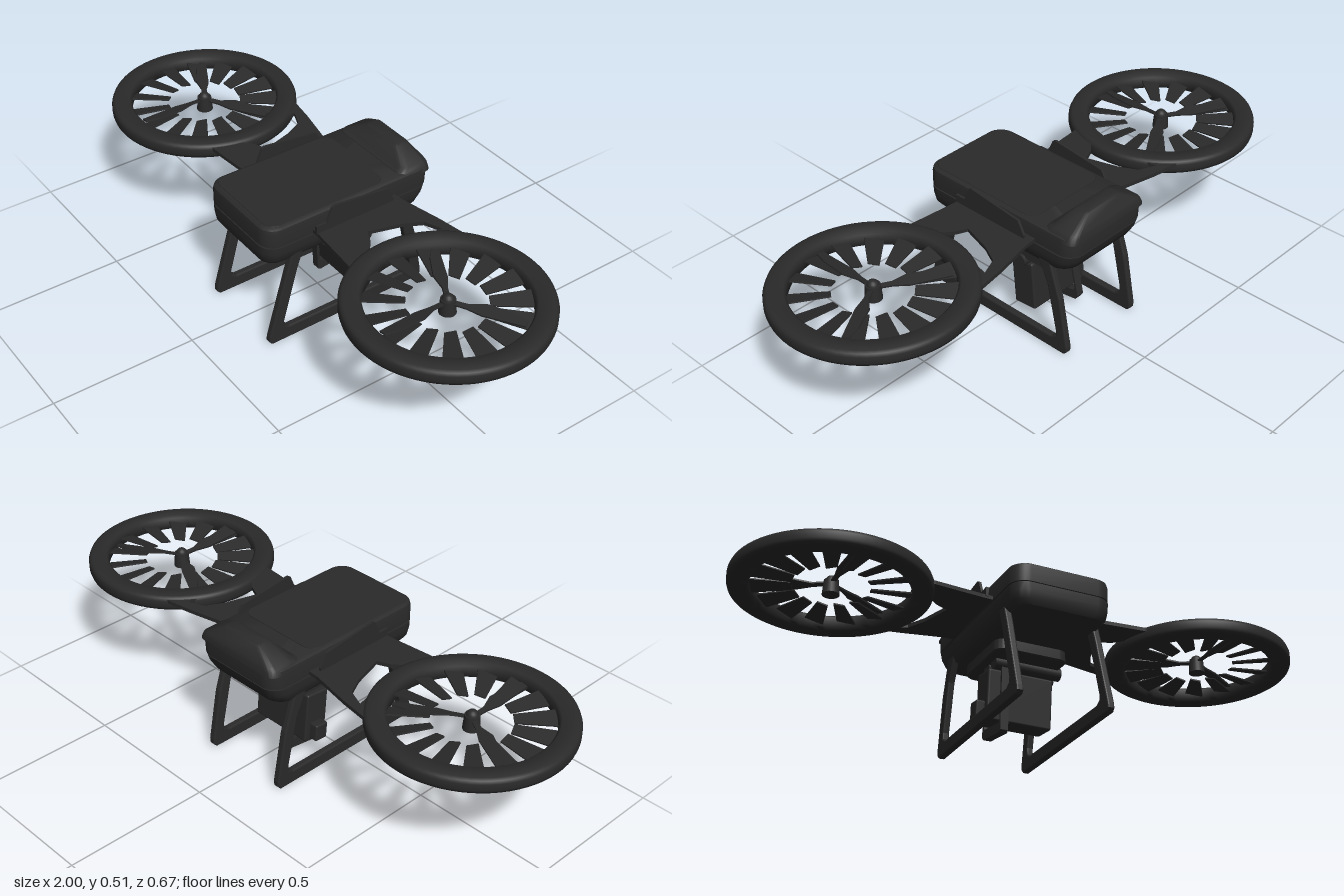
import * as THREE from 'three';
import { toCreasedNormals } from 'three/addons/utils/BufferGeometryUtils.js';
import { RoundedBoxGeometry } from 'three/addons/geometries/RoundedBoxGeometry.js';

const dark = new THREE.MeshStandardMaterial({ color: 0x2a2a2a });

function add(parent, name, geometry, x = 0, y = 0, z = 0) {
  const mesh = new THREE.Mesh(geometry, dark);
  mesh.name = name;
  mesh.position.set(x, y, z);
  parent.add(mesh);
  return mesh;
}

const polygon = (pts, flip) => new THREE.Shape(pts.map(([a, b]) => new THREE.Vector2(a * flip[0], b * flip[1])));

// Flat plate outlined in [x, z], thickened upwards
function plate(pts, thickness, holes = [], side = 1) {
  const shape = polygon(pts, [side, -1]);
  shape.holes = holes.map(h => polygon(h, [side, -1]));
  return new THREE.ExtrudeGeometry(shape, { depth: thickness, bevelEnabled: false }).rotateX(-Math.PI / 2);
}

// Upright plate outlined in [z, y], centred on its width along x
function profile(pts, width, holes = [], bevel = 0) {
  const shape = polygon(pts, [-1, 1]);
  shape.holes = holes.map(h => polygon(h, [-1, 1]));
  const depth = width - 2 * bevel;
  return new THREE.ExtrudeGeometry(shape, {
    depth, bevelEnabled: bevel > 0, bevelSize: bevel, bevelOffset: -bevel, bevelThickness: bevel, bevelSegments: 2,
  }).translate(0, 0, -depth / 2).rotateY(Math.PI / 2);
}

// Rounded-rectangle sections stacked upwards: [y, halfWidth, zFront, zBack, cornerRadius]
function loft(sections, k = 8) {
  const rings = sections.map(([y, hw, zf, zb, r]) => {
    const ring = [];
    for (let q = 0; q < 4; q++) {
      const cx = q === 0 || q === 3 ? hw - r : r - hw;
      const cz = q < 2 ? zf - r : zb + r;
      for (let i = 0; i <= k; i++) {
        const a = (q + i / k) * Math.PI / 2;
        ring.push([cx + r * Math.cos(a), y, cz + r * Math.sin(a)]);
      }
    }
    return ring;
  });
  const pos = [];
  const tri = (...p) => p.forEach(v => pos.push(...v));
  const n = rings[0].length;
  const centre = ([y, , zf, zb]) => [0, y, (zf + zb) / 2];
  const last = rings.length - 1;
  for (let j = 0; j < n; j++) {
    const m = (j + 1) % n;
    for (let i = 0; i < last; i++) {
      tri(rings[i][j], rings[i + 1][j], rings[i][m]);
      tri(rings[i][m], rings[i + 1][j], rings[i + 1][m]);
    }
    tri(centre(sections[0]), rings[0][j], rings[0][m]);
    tri(centre(sections[last]), rings[last][m], rings[last][j]);
  }
  const g = new THREE.BufferGeometry();
  g.setAttribute('position', new THREE.Float32BufferAttribute(pos, 3));
  return toCreasedNormals(g, 0.6);
}

function buildBody() {
  const body = new THREE.Group();
  body.name = 'body';
  add(body, 'lowerShell', loft([
    [0.308, 0.135, 0.275, -0.265, 0.04], [0.314, 0.155, 0.298, -0.285, 0.05],
    [0.33, 0.168, 0.308, -0.305, 0.055], [0.36, 0.174, 0.311, -0.322, 0.055], [0.385, 0.175, 0.311, -0.33, 0.055],
  ]));
  add(body, 'shellSeam', loft([[0.38, 0.17, 0.306, -0.325, 0.052], [0.4, 0.17, 0.306, -0.325, 0.052]]));
  add(body, 'upperShell', loft([
    [0.39, 0.175, 0.311, -0.332, 0.055], [0.44, 0.175, 0.311, -0.335, 0.055],
    [0.452, 0.172, 0.308, -0.333, 0.053], [0.458, 0.162, 0.3, -0.325, 0.047],
  ]));
  add(body, 'topHatch', loft([[0.45, 0.162, 0.295, -0.155, 0.04], [0.46, 0.158, 0.291, -0.155, 0.038]]));
  add(body, 'rearHump', loft([
    [0.44, 0.174, -0.2, -0.335, 0.03], [0.46, 0.165, -0.208, -0.333, 0.03], [0.468, 0.155, -0.226, -0.329, 0.025],
    [0.506, 0.085, -0.252, -0.308, 0.015], [0.51, 0.075, -0.258, -0.302, 0.012],
  ]));
  return body;
}

const FAN_X = 0.675, FAN_Z = 0.01;

function buildFan() {
  const fan = new THREE.Group();
  fan.name = 'ductedFan';
  // Duct ring with rounded edges
  const duct = [[0.255, 0.368], [0.263, 0.36], [0.312, 0.36], [0.322, 0.366], [0.325, 0.376],
    [0.325, 0.398], [0.321, 0.408], [0.312, 0.413], [0.263, 0.413], [0.255, 0.405], [0.255, 0.368]];
  add(fan, 'duct', toCreasedNormals(
    new THREE.LatheGeometry(duct.map(p => new THREE.Vector2(...p)), 72), 0.9));
  // Pitched guide vanes standing inwards from the duct
  const vane = plate([[0.125, -0.018], [0.262, -0.033], [0.262, 0.033], [0.125, 0.018]], 0.005).rotateX(0.25);
  const vanes = 15;
  for (let i = 0; i < vanes; i++) {
    add(fan, 'vane', vane, 0, 0.383, 0).rotation.y = (i + 0.5) / vanes * Math.PI * 2;
  }
  // Three-bladed propeller
  const blade = plate([[0.01, -0.008], [0.06, -0.009], [0.11, -0.028], [0.2, -0.024], [0.243, -0.012],
    [0.243, 0.012], [0.11, 0.018], [0.06, 0.009], [0.01, 0.008]], 0.006).rotateX(0.2);
  for (let i = 0; i < 3; i++) {
    add(fan, 'propellerBlade', blade, 0, 0.392, 0).rotation.y = Math.PI / 6 + i * Math.PI * 2 / 3;
  }
  add(fan, 'hub', new THREE.CylinderGeometry(0.024, 0.028, 0.05, 24), 0, 0.38, 0);
  add(fan, 'spinner', new THREE.SphereGeometry(0.02, 20, 10), 0, 0.402, 0);
  return fan;
}

function buildWing(side) {
  // Planform ends in an arc hidden inside the duct
  const outline = [[0.16, -0.18], [0.21, -0.183], [0.36, -0.215]];
  for (let i = 0; i <= 12; i++) {
    const a = (238 - i * 88 / 12) * Math.PI / 180;
    outline.push([FAN_X + 0.295 * Math.cos(a), FAN_Z + 0.295 * Math.sin(a)]);
  }
  outline.push([0.38, 0.157], [0.21, 0.142], [0.16, 0.14]);
  const opening = [[0.405, -0.19], [0.345, -0.165], [0.312, -0.1], [0.28, 0.01], [0.325, 0.03], [0.37, 0.07], [0.375, -0.05]];
  return plate(outline, 0.013, [opening], side);
}

function buildGimbal() {
  const gimbal = new THREE.Group();
  gimbal.name = 'gimbal';
  add(gimbal, 'mountPlate', loft([
    [0.266, 0.125, 0.058, -0.205, 0.03], [0.27, 0.13, 0.063, -0.21, 0.035],
    [0.304, 0.13, 0.063, -0.21, 0.035], [0.318, 0.11, 0.01, -0.16, 0.03],
  ]), 0.01);
  // Damper rollers under the plate
  for (const z of [-0.032, -0.09]) {
    add(gimbal, 'roller', new THREE.CylinderGeometry(0.022, 0.022, 0.24, 24).rotateZ(Math.PI / 2), 0.03, 0.259, z);
  }
  // Strap looping around the camera
  add(gimbal, 'strap', profile(
    [[-0.016, 0.275], [-0.03, 0.025], [-0.04, 0.018], [-0.165, 0.035], [-0.175, 0.05], [-0.124, 0.275]], 0.028,
    [[[-0.026, 0.265], [-0.038, 0.06], [-0.045, 0.053], [-0.155, 0.068], [-0.16, 0.08], [-0.121, 0.265]]]), -0.052);
  const camera = add(gimbal, 'camera', new RoundedBoxGeometry(0.235, 0.176, 0.09, 3, 0.007), 0.01, 0.152, -0.084);
  camera.rotation.x = 0.09;
  add(camera, 'sideKnob', new RoundedBoxGeometry(0.035, 0.06, 0.05, 2, 0.006), -0.13, -0.05, 0);
  return gimbal;
}

export function createModel() {
  const model = new THREE.Group();
  model.name = 'drone';
  model.add(buildBody(), buildGimbal());

  // Skid frame: two leaning legs joined by a ground rail
  const skid = profile([
    [0.298, 0], [0.308, 0.012], [0.306, 0.03], [0.235, 0.275], [0.214, 0.338], [0.172, 0.338],
    [0.196, 0.27], [0.25, 0.075], [0.248, 0.058], [0.23, 0.046],
    [-0.245, 0.046], [-0.264, 0.058], [-0.264, 0.08], [-0.226, 0.25], [-0.185, 0.338],
    [-0.236, 0.338], [-0.245, 0.31], [-0.278, 0.21], [-0.312, 0.03], [-0.311, 0.012], [-0.3, 0],
  ], 0.024, [], 0.005);
  const fin = profile([[0.145, 0.398], [0.145, 0.43], [0.105, 0.43], [0.085, 0.478],
    [0.075, 0.484], [-0.13, 0.46], [-0.155, 0.415], [-0.155, 0.398]], 0.009);
  for (const side of [1, -1]) {
    add(model, 'landingSkid', skid, side * 0.157);
    add(model, 'wingFin', fin, side * 0.196);
    add(model, 'wingPlate', buildWing(side), 0, 0.391);
    const fan = buildFan();
    fan.position.set(side * FAN_X, 0, FAN_Z);
    model.add(fan);
  }
  return model;
}
